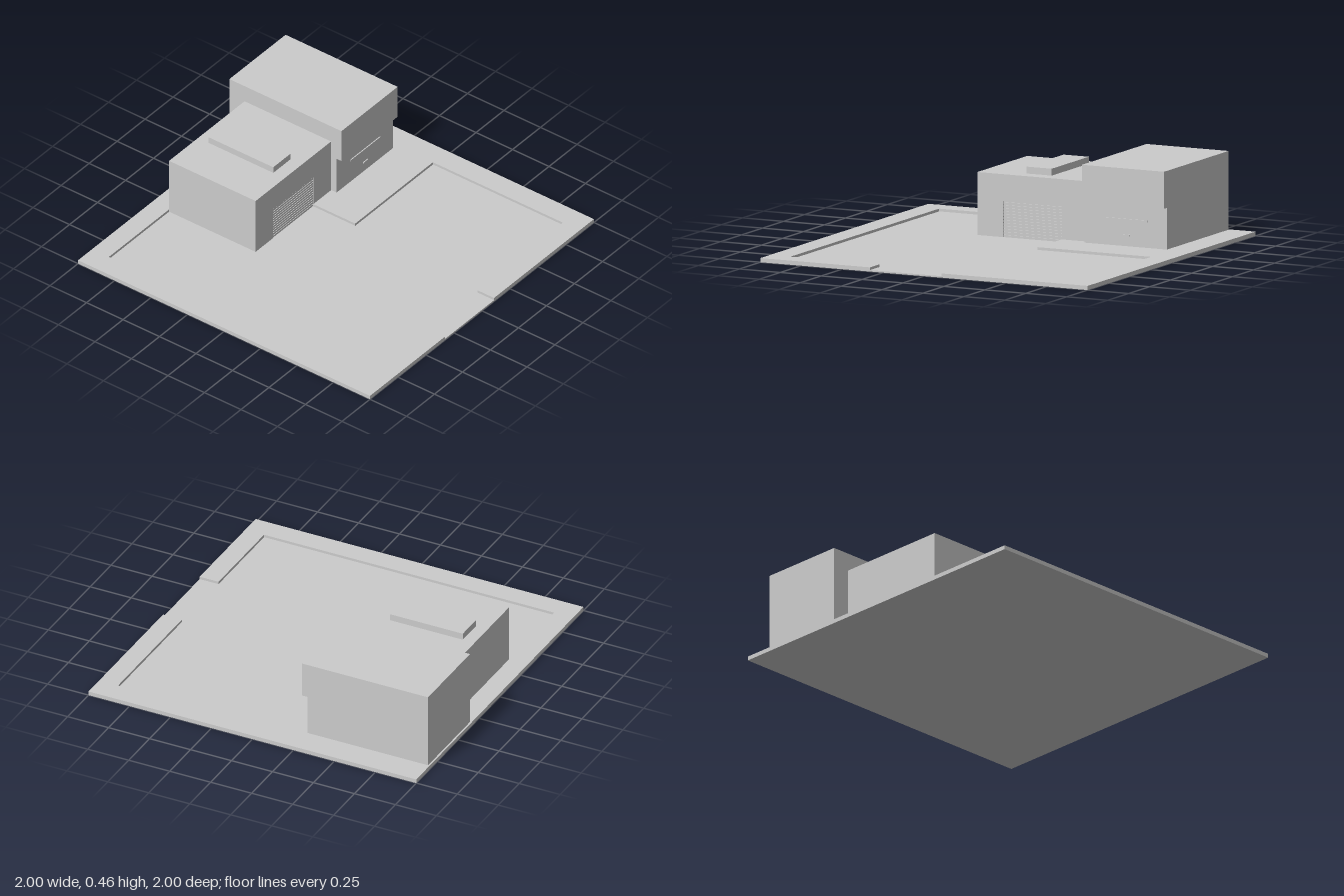
import * as THREE from 'three';

const material = new THREE.MeshStandardMaterial({ color: 0xcccccc, flatShading: true });

// Box given by its limits on each axis
function block(name, [x0, x1], [y0, y1], [z0, z1]) {
  const geometry = new THREE.BoxGeometry(x1 - x0, y1 - y0, z1 - z0);
  geometry.translate((x0 + x1) / 2, (y0 + y1) / 2, (z0 + z1) / 2);
  const mesh = new THREE.Mesh(geometry, material);
  mesh.name = name;
  return mesh;
}

// Outline extruded along +z
function extrude(name, points, depth) {
  const shape = new THREE.Shape(points.map(([x, y]) => new THREE.Vector2(x, y)));
  const geometry = new THREE.ExtrudeGeometry(shape, { depth, bevelEnabled: false });
  const mesh = new THREE.Mesh(geometry, material);
  mesh.name = name;
  return mesh;
}

export function createModel() {
  const model = new THREE.Group();
  model.name = 'houseOnPlot';
  const floor = 0.008, kerb = 0.023;

  // Plot: sunken yard surrounded by a raised border with a gate opening
  model.add(block('yardFloor', [-1, 1], [0, floor], [-1, 1]));
  const border = extrude('raisedBorder', [
    [-1, 1], [-0.33, 1], [-0.33, 0.885], [-0.875, 0.885], [-0.875, -0.885],
    [0.178, -0.885], [0.178, -0.005], [0.872, -0.005], [0.872, 0.885],
    [0.108, 0.885], [0.108, 1], [1, 1], [1, -1], [-1, -1],
  ], kerb - floor);
  border.geometry.rotateX(Math.PI / 2);
  border.geometry.translate(0, kerb, 0);
  model.add(border);

  // Main building: body plus a front wall with a shutter opening
  const main = new THREE.Group();
  main.name = 'mainBuilding';
  const w = 0.337, top = 0.355, door = 0.18, doorTop = 0.205;
  main.add(block('mainBody', [-w, w], [floor, top], [-0.885, -0.302]));
  const wall = extrude('frontWall', [
    [-w, floor], [-door, floor], [-door, doorTop], [door, doorTop],
    [door, floor], [w, floor], [w, top], [-w, top],
  ], 0.01);
  wall.position.z = -0.302;
  main.add(wall);

  // Shutter slats set into the opening
  const slats = 12, pitch = (doorTop - floor) / slats;
  for (let i = 0; i < slats; i++) {
    const y = floor + i * pitch;
    main.add(block('shutterSlat', [-door, door], [y, y + pitch * 0.75], [-0.302, -0.295]));
  }
  main.add(block('roofBox', [-0.078, 0.077], [top, 0.393], [-0.813, -0.37]));
  model.add(main);

  // Side building: side profile with an overhanging upper floor
  const side = new THREE.Group();
  side.name = 'sideBuilding';
  const x0 = 0.338, x1 = 0.84;
  const body = extrude('sideBody', [
    [0.255, kerb], [0.99, kerb], [0.99, 0.457], [0.222, 0.457], [0.222, 0.253], [0.255, 0.253],
  ], x1 - x0);
  body.geometry.rotateY(Math.PI / 2);
  body.position.x = x0;
  side.add(body);

  // Front trim bar and small handle
  side.add(block('trimBar', [0.46, 0.725], [0.164, 0.174], [-0.256, -0.249]));
  side.add(block('doorHandle', [0.575, 0.615], [0.079, 0.088], [-0.256, -0.249]));
  model.add(side);

  return model;
}
